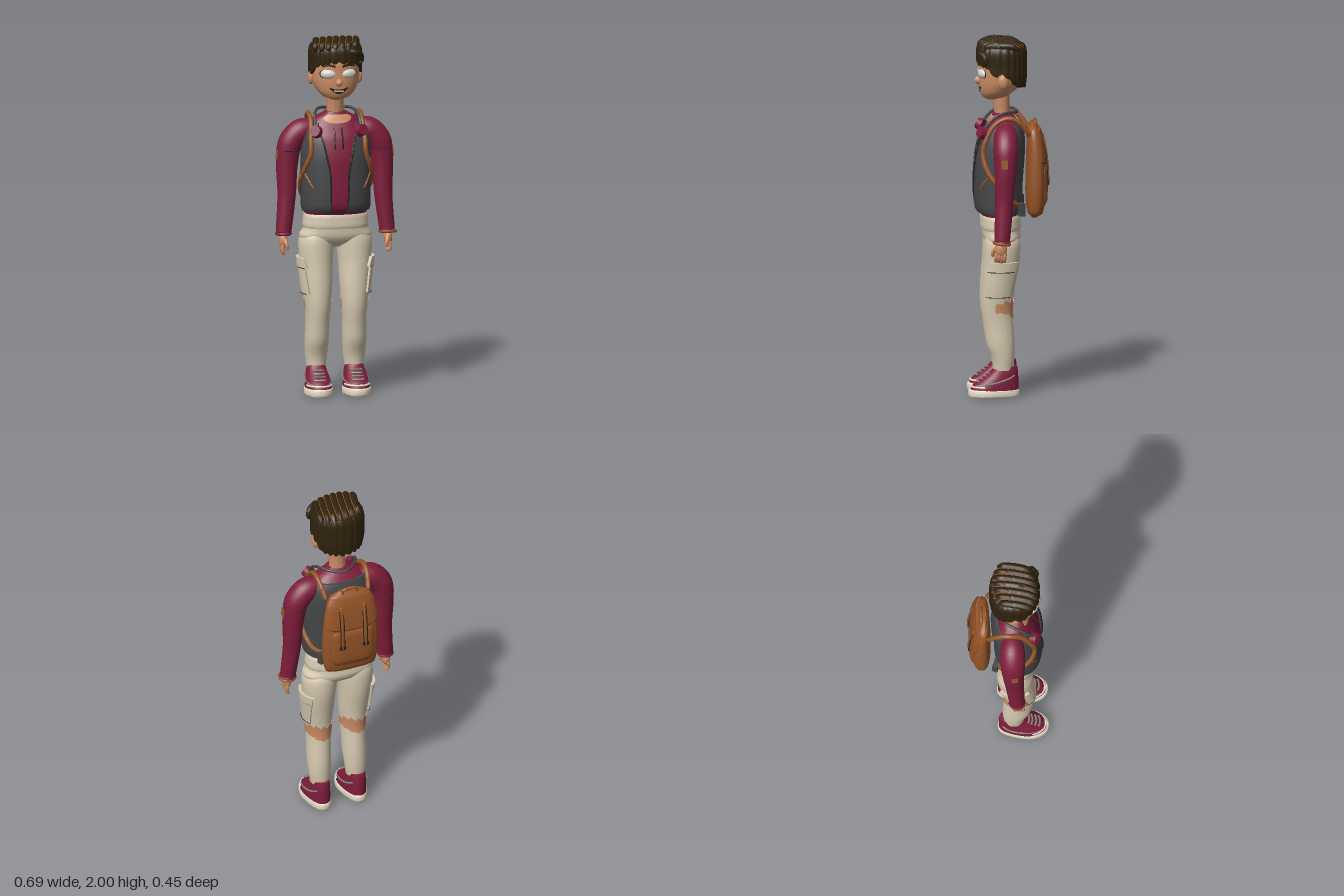
import * as THREE from 'three';
import { toCreasedNormals } from 'three/addons/utils/BufferGeometryUtils.js';

const mat = (name, color) => Object.assign(new THREE.MeshStandardMaterial({ color }), { name });
const M = {
  maroon: mat('maroon cloth', 0x7f1d3b), cream: mat('cream trousers', 0xd6c9b0), vest: mat('charcoal vest', 0x454648),
  brown: mat('brown leather', 0x965528), skin: mat('skin', 0xcb8d65), hair: mat('dark hair', 0x30230e),
  eye: mat('eye white', 0xd6d5c8), dark: mat('dark trim', 0x241f1d), sole: mat('shoe sole', 0xe3d9c4), lace: mat('grey lace', 0x85877a),
};
const V = (x, y, z) => new THREE.Vector3(x, y, z);
const lerp = THREE.MathUtils.lerp;

export function createModel() {
  const model = new THREE.Group(), body = new THREE.Group();
  model.name = 'person'; body.name = 'body';
  body.position.x = -0.008;
  model.add(body);

  const add = (name, geo, material) => {
    const m = new THREE.Mesh(geo, material);
    m.name = name; body.add(m);
    return m;
  };
  const ball = (name, material, p, r) => {
    const m = add(name, new THREE.SphereGeometry(1, 24, 16), material);
    m.position.set(...p); m.scale.set(...r);
    return m;
  };
  // piecewise linear lookup in [x, y] pairs
  const table = (rows, x) => {
    let i = 0;
    while (i < rows.length - 2 && x > rows[i + 1][0]) i++;
    const t = THREE.MathUtils.clamp((x - rows[i][0]) / (rows[i + 1][0] - rows[i][0]), 0, 1);
    return lerp(rows[i][1], rows[i + 1][1], t);
  };
  // rows [y, cx, cz, rx, rz], bottom up -> point at angle a (0 = front) and height y
  const surface = (rows, n = 2) => (a, y, off = 0) => {
    let i = 0;
    while (i < rows.length - 2 && y > rows[i + 1][0]) i++;
    const t = (y - rows[i][0]) / (rows[i + 1][0] - rows[i][0]);
    const q = [-1, 0, 1, 2].map(k => rows[THREE.MathUtils.clamp(i + k, 0, rows.length - 1)]);
    const [, cx, cz, rx, rz] = rows[0].map((_, k) => {
      const [A, B, C, D] = q.map(r => r[k]);
      return 0.5 * (2 * B + (C - A) * t + (2 * A - 5 * B + 4 * C - D) * t * t + (3 * B - A - 3 * C + D) * t ** 3);
    });
    const pw = w => Math.sign(w) * Math.abs(w) ** (2 / n);
    return V(cx + (rx + off) * pw(Math.sin(a)), y, cz + (rz + off) * pw(Math.cos(a)));
  };
  // grid of points fn(i, j)
  const grid = (fn, nu, nv, crease = 0.9) => {
    const pos = [], idx = [];
    for (let j = 0; j <= nv; j++) for (let i = 0; i <= nu; i++) pos.push(...fn(i, j).toArray());
    for (let j = 0; j < nv; j++) for (let i = 0; i < nu; i++) {
      const a = j * (nu + 1) + i, b = a + nu + 1;
      idx.push(a, a + 1, b + 1, a, b + 1, b);
    }
    const g = new THREE.BufferGeometry();
    g.setAttribute('position', new THREE.Float32BufferAttribute(pos, 3));
    g.setIndex(idx);
    return toCreasedNormals(g, crease);
  };
  // closed loft through the rows
  const loft = (rows, n = 2, seg = 40) => {
    const s = surface(rows, n), ys = [];
    rows.slice(1).forEach((r, i) => { for (let k = 0; k < 4; k++) ys.push(lerp(rows[i][0], r[0], k / 4)); });
    ys.push(rows.at(-1)[0]);
    const cap = r => V(r[1], r[0], r[2]);
    return grid((i, j) => j === 0 ? cap(rows[0]) : j === ys.length + 1 ? cap(rows.at(-1))
      : s((i % seg) / seg * Math.PI * 2, ys[j - 1]), seg, ys.length + 1);
  };
  // raised plate on a surface, with closed edges; fn(u, v) -> [angle, y]
  const patch = (s, fn, off, nu = 16, nv = 8) => grid((i, j) => {
    const rim = i === 0 || j === 0 || i === nu || j === nv;
    const c = (k, n) => THREE.MathUtils.clamp((k - 1) / (n - 2), 0, 1);
    const [a, y] = fn(c(i, nu), c(j, nv));
    return s(a, y, rim ? -0.002 : off);
  }, nu, nv, 0.7);
  // tapered tube with round closed ends
  const sweep = (pts, radii, seg = 32, sides = 14) => {
    const curve = new THREE.CatmullRomCurve3(pts.map(p => p.isVector3 ? p : V(...p)));
    const g = new THREE.TubeGeometry(curve, seg, 1, sides), p = g.attributes.position, nm = g.attributes.normal;
    for (let i = 0; i <= seg; i++) {
      const c = curve.getPointAt(i / seg), t = curve.getUtoTmapping(i / seg) * (radii.length - 1);
      const r = i === 0 || i === seg ? 0 : table(radii.map((w, k) => [k, w]), t);
      for (let j = 0; j <= sides; j++) {
        const k = i * (sides + 1) + j;
        p.setXYZ(k, c.x + nm.getX(k) * r, c.y + nm.getY(k) * r, c.z + nm.getZ(k) * r);
      }
    }
    return toCreasedNormals(g, 1);
  };
  const TAU = Math.PI * 2;

  // head and face
  const headRows = [[1.664, 0, 0.085, 0.035, 0.035], [1.68, 0, 0.075, 0.075, 0.07], [1.71, 0, 0.06, 0.106, 0.098],
    [1.76, 0, 0.042, 0.13, 0.121], [1.82, 0, 0.035, 0.138, 0.128], [1.88, 0, 0.035, 0.133, 0.125], [1.94, 0, 0.035, 0.1, 0.1]];
  const head = surface(headRows);
  add('head', loft(headRows), M.skin);
  add('neck', loft([[1.53, 0, 0.03, 0.05, 0.045], [1.6, 0, 0.035, 0.046, 0.043], [1.7, 0, 0.04, 0.05, 0.05]]), M.skin);
  ball('nose', M.skin, [0, 1.768, 0.163], [0.019, 0.022, 0.025]);
  add('mouth', patch(head, (u, v) => [lerp(-0.43, 0.43, u), 1.703 + 0.03 * (2 * u - 1) ** 2 + v * 0.026 * Math.sin(Math.PI * lerp(0.1, 0.9, u))], 0.003), M.dark);
  add('teeth', patch(head, (u, v) => [lerp(-0.24, 0.24, u), 1.716 + v * 0.008], 0.005), M.eye);
  for (const s of [-1, 1]) {
    ball('ear', M.skin, [s * 0.136, 1.78, 0.03], [0.017, 0.04, 0.028]);
    ball('eye', M.eye, [s * 0.056, 1.815, 0.139], [0.046, 0.029, 0.027]).rotation.y = s * 0.3;
    const rim = add('eyelid', new THREE.TorusGeometry(1, 0.07, 8, 36), M.dark);
    rim.position.set(s * 0.056, 1.815, 0.142); rim.scale.set(0.047, 0.03, 0.03); rim.rotation.y = s * 0.3;
    add('eyebrow', patch(head, (u, v) => [s * 0.42 + lerp(-0.28, 0.28, u), 1.852 + 0.012 * v + 0.008 * Math.sin(Math.PI * u)], 0.006), M.hair);
  }

  // hair: rippled shell with a hairline, combed locks on top, a curl in front
  const hair = surface([[1.72, 0, 0.022, 0.124, 0.115], [1.8, 0, 0.033, 0.142, 0.134], [1.87, 0, 0.035, 0.143, 0.136],
    [1.92, 0, 0.036, 0.144, 0.137], [1.955, 0, 0.036, 0.138, 0.132], [1.978, 0, 0.035, 0.112, 0.108], [1.986, 0, 0.035, 0.01, 0.01]], 2.3);
  const hairline = a => table([[0, 1.875], [0.8, 1.862], [1.15, 1.83], [1.32, 1.795], [1.5, 1.82], [1.8, 1.79], [2.1, 1.745], [3.15, 1.73]], a);
  add('hair', grid((i, j) => {
    const a = (i % 144) / 144 * TAU, ripple = Math.abs(Math.sin(a * 12));
    const low = hairline(Math.min(a, TAU - a)) + 0.012 * (1 - ripple);
    return hair(a, lerp(low, 1.986, Math.max(0, j - 1) / 14), j ? 0.005 * ripple : -0.012);
  }, 144, 15), M.hair);
  const topPath = (x, y) => {
    const w = Math.sqrt(1 - (x / 0.16) ** 2);
    return [[0.025, -0.028, -0.13], [0.02, -0.004, -0.085], [0.008, 0, 0], [-0.008, 0, 0.07], [-0.02, -0.012, 0.115], [-0.02, -0.04, 0.127]]
      .map(([dx, dy, dz]) => V(x + dx * w, y + dy, 0.036 + dz * w));
  };
  for (let k = -3; k <= 3; k++) {
    add('hairLock', sweep(topPath(k * 0.037, 1.978), [0.008, 0.02, 0.022, 0.022, 0.02, 0.008]), M.hair);
    if (k < 3) add('hairStreak', sweep(topPath(k * 0.037 + 0.0185, 1.991), [0.001, 0.003, 0.003, 0.003, 0.003, 0.001], 24, 6), M.brown);
  }
  add('hairCurl', sweep([[0.05, 1.95, 0.15], [0.09, 1.935, 0.155], [0.125, 1.92, 0.135], [0.135, 1.885, 0.125], [0.118, 1.865, 0.13]], [0.01, 0.018, 0.016, 0.011, 0.003]), M.hair);

  // sweater and vest
  const torsoRows = [[1.02, 0, 0.046, 0.174, 0.105], [1.06, 0, 0.055, 0.182, 0.122], [1.2, 0, 0.055, 0.182, 0.125], [1.35, 0, 0.046, 0.183, 0.127],
    [1.45, 0, 0.035, 0.178, 0.117], [1.52, 0, 0.026, 0.155, 0.092], [1.56, 0, 0.03, 0.11, 0.068], [1.588, 0, 0.035, 0.06, 0.05]];
  const torso = surface(torsoRows, 2.3);
  add('sweater', loft(torsoRows, 2.3, 56), M.maroon);
  const opening = y => table([[1.04, 0.2], [1.25, 0.22], [1.42, 0.38], [1.54, 0.75]], y);
  add('vest', patch(torso, (u, v) => {
    const y = lerp(1.037, 1.53, v), o = opening(y);
    return [lerp(o, TAU - o, u), y];
  }, 0.012, 64, 24), M.vest);
  add('neckline', patch(torso, (u, v) => [lerp(-0.65, 0.8, u), 1.575 - (1 - v) * 0.045 * Math.sin(Math.PI * lerp(0.15, 0.9, u))], 0.003), M.skin);
  for (const s of [-1, 1]) {
    const edge = [1.045, 1.15, 1.25, 1.35, 1.43, 1.5].map(y => torso(s * opening(y), y, 0.012));
    add('vestZip', sweep(edge, [0.005, 0.005], 32, 8), M.dark);
    add('drawstring', sweep([1.39, 1.43, 1.47, 1.51].map(y => torso(s * 0.09, y, 0.002)), [0.004, 0.004], 16, 8), M.dark);
    add('vestPocketTrim', sweep([[0.75, 1.17], [0.95, 1.21], [1.25, 1.26]].map(([a, y]) => torso(s * a, y, 0.013)), [0.006, 0.006], 16, 8), M.brown);

    // arm, cuff and hand
    add('sleeve', sweep([[0.1, 1.495, 0.02], [0.19, 1.478, 0.02], [0.248, 1.415, 0.02], [0.268, 1.3, 0.022], [0.272, 1.12, 0.03], [0.293, 0.9, 0.043]]
      .map(([x, y, z]) => V(s * x, y, z)), [0.05, 0.068, 0.069, 0.061, 0.051, 0.043], 48, 24), M.maroon);
    const seam = add('sleeveSeam', new THREE.TorusGeometry(0.0655, 0.002, 6, 32), M.dark);
    seam.position.set(s * 0.257, 1.375, 0.021); seam.rotation.x = Math.PI / 2;
    const badge = add('sleevePatch', new THREE.BoxGeometry(0.006, 0.05, 0.036), M.brown);
    badge.position.set(s * 0.326, 1.35, 0.028); badge.rotation.z = s * 0.1;
    const cuff = add('cuff', new THREE.TorusGeometry(0.038, 0.009, 10, 28), M.maroon);
    cuff.position.set(s * 0.292, 0.906, 0.043); cuff.rotation.x = Math.PI / 2;
    ball('palm', M.skin, [s * 0.296, 0.867, 0.05], [0.023, 0.045, 0.034]);
    for (let f = 0; f < 4; f++) {
      const z = 0.026 + f * 0.016;
      add('finger', sweep([[s * 0.3, 0.85, z], [s * 0.303, 0.815, z + 0.003], [s * 0.29, 0.785 + 0.004 * Math.abs(f - 1), z + 0.004]], [0.011, 0.01, 0.007], 12, 10), M.skin);
    }
    add('thumb', sweep([[s * 0.29, 0.88, 0.07], [s * 0.283, 0.85, 0.092], [s * 0.277, 0.82, 0.093]], [0.013, 0.011, 0.008], 12, 10), M.skin);

    // backpack strap and headphone cup
    add('shoulderStrap', sweep([V(s * 0.125, 1.47, -0.12), V(s * 0.14, 1.55, -0.06), V(s * 0.145, 1.575, 0), V(s * 0.143, 1.54, 0.075),
      ...[[0.85, 1.45], [0.85, 1.37], [1.15, 1.28], [1.6, 1.19], [2.2, 1.1], [2.75, 1.07]].map(([a, y]) => torso(s * a, y, 0.016))], [0.014, 0.014], 64, 10), M.brown);
    const cup = add('headphoneCup', new THREE.CylinderGeometry(0.031, 0.036, 0.036, 24), M.maroon);
    cup.position.set(s * 0.13, 1.495, 0.148); cup.rotation.set(1.2, 0, -s * 0.5);
    const hip = add('hipBuckle', new THREE.BoxGeometry(0.07, 0.07, 0.03), M.vest);
    hip.position.set(s * 0.12, 1.06, -0.066); hip.rotation.y = s * 0.4;
  }
  add('headphoneBand', sweep([[-0.13, 1.51, 0.14], [-0.122, 1.575, 0.08], [-0.1, 1.597, 0.02], [-0.055, 1.597, -0.035], [0, 1.59, -0.052],
    [0.055, 1.597, -0.035], [0.1, 1.597, 0.02], [0.122, 1.575, 0.08], [0.13, 1.51, 0.14]], [0.008, 0.008], 64, 10), M.vest);
  const watch = add('bracelet', new THREE.TorusGeometry(0.044, 0.008, 8, 28), M.brown);
  watch.position.set(0.295, 0.9, 0.044); watch.rotation.x = 1.45;

  // backpack
  const packRows = [[1.008, 0, -0.145, 0.1, 0.02], [1.03, 0, -0.15, 0.145, 0.043], [1.1, 0, -0.152, 0.16, 0.054], [1.22, 0, -0.154, 0.163, 0.056],
    [1.36, 0, -0.152, 0.152, 0.05], [1.46, 0, -0.145, 0.135, 0.04], [1.505, 0, -0.138, 0.112, 0.03], [1.53, 0, -0.135, 0.06, 0.014]];
  const pack = surface(packRows, 2.8);
  add('backpack', loft(packRows, 2.8), M.brown);
  add('backpackPocket', loft([[1.07, 0, -0.185, 0.1, 0.02], [1.1, 0, -0.188, 0.122, 0.03], [1.2, 0, -0.188, 0.128, 0.032], [1.28, 0, -0.186, 0.125, 0.029], [1.31, 0, -0.182, 0.11, 0.02]], 3), M.brown);
  add('backpackFlap', patch(pack, (u, v) => [lerp(1.9, TAU - 1.9, u), lerp(1.33 - 0.02 * Math.sin(Math.PI * u), 1.5, v)], 0.009, 28, 10), M.brown);
  add('backpackSeam', sweep([...Array(25)].map((_, i) => pack(lerp(1.9, TAU - 1.9, i / 24), 1.33 - 0.02 * Math.sin(Math.PI * i / 24), 0.007)), [0.0025, 0.0025], 60, 6), M.dark);
  add('backpackHandle', sweep([[-0.045, 1.5, -0.15], [-0.04, 1.535, -0.15], [0, 1.545, -0.15], [0.04, 1.535, -0.15], [0.045, 1.5, -0.15]], [0.009, 0.009], 30, 8), M.brown);
  for (const x of [-0.068, 0.068]) {
    add('packStrap', sweep([[x, 1.46, -0.188], [x, 1.38, -0.206], [x, 1.27, -0.217], [x, 1.18, -0.218]], [0.009, 0.009], 30, 8), M.brown);
    for (const d of [-0.011, 0.011]) add('packStrapEdge', sweep([[x + d, 1.44, -0.193], [x + d, 1.35, -0.21], [x + d, 1.2, -0.22]], [0.003, 0.003], 24, 6), M.dark);
    add('packBuckle', new THREE.BoxGeometry(0.032, 0.022, 0.01), M.dark).position.set(x, 1.2, -0.22);
  }

  // trousers
  add('hips', loft([[0.83, 0, 0.035, 0.09, 0.05], [0.855, 0, 0.035, 0.17, 0.085], [0.89, 0, 0.036, 0.203, 0.105], [0.93, 0, 0.04, 0.183, 0.107], [0.98, 0, 0.042, 0.172, 0.106], [1.03, 0, 0.045, 0.17, 0.1]], 2.3, 48), M.cream);
  add('waistband', loft([[0.94, 0, 0.042, 0.183, 0.112], [0.945, 0, 0.042, 0.185, 0.114], [1.015, 0, 0.044, 0.177, 0.109], [1.022, 0, 0.044, 0.174, 0.106]], 2.3, 48), M.cream);
  for (const s of [-1, 1]) {
    const legRows = [[0.155, 0.107, 0.03, 0.055, 0.058], [0.22, 0.107, 0.032, 0.062, 0.064], [0.3, 0.106, 0.046, 0.067, 0.079], [0.4, 0.104, 0.056, 0.067, 0.083],
      [0.5, 0.103, 0.066, 0.072, 0.087], [0.62, 0.105, 0.058, 0.084, 0.093], [0.75, 0.108, 0.041, 0.093, 0.1], [0.87, 0.105, 0.036, 0.1, 0.1], [0.93, 0.09, 0.04, 0.085, 0.085]]
      .map(([y, x, ...r]) => [y, s * x, ...r]);
    const leg = surface(legRows);
    add('trouserLeg', loft(legRows), M.cream);
    const pocket = (lo, hi, y0, y1, off) => patch(leg, (u, v) => [s * Math.PI / 2 + lerp(lo, hi, u) + s * 0.2 * (v - 0.5), lerp(y0, y1, v)], off, 14, 10);
    add('cargoPocket', pocket(-0.75, 0.75, 0.575, 0.765, 0.012), M.cream);
    add('cargoPocketFlap', pocket(-0.8, 0.8, 0.72, 0.772, 0.018), M.cream);
    for (const [y, w] of [[0.573, 0.002], [0.717, 0.003]])
      add('cargoPocketSeam', sweep([-0.75, -0.4, 0, 0.4, 0.75].map(d => leg(s * Math.PI / 2 + d, y, 0.013)), [w, w], 20, 6), M.dark);
    // torn openings behind the knee, with ragged edges
    add('kneeTear', patch(leg, (u, v) => {
      const a = lerp(Math.PI * 0.47, Math.PI * 1.53, u), rag = 0.012 * Math.sin(u * 41) + 0.007 * Math.sin(u * 83);
      const mid = 0.505 + 0.008 * Math.sin(u * 9), h = 0.02 + 0.025 * Math.sin(Math.PI * u);
      return [a, mid + (v * 2 - 1) * h + rag * (v - 0.3)];
    }, 0.004, 48, 8), M.skin);

    // shoe, narrower at the heel
    const shape = rows => {
      const g = loft(rows.map(([y, cz, rx, rz]) => [y, 0, cz, rx, rz]), 2.3), p = g.attributes.position;
      for (let i = 0; i < p.count; i++) p.setX(i, s * 0.107 + p.getX(i) * lerp(0.8, 1.03, THREE.MathUtils.smoothstep(p.getZ(i), -0.03, 0.14)));
      return toCreasedNormals(g, 0.8);
    };
    add('shoeSole', shape([[0, 0.082, 0.072, 0.137], [0.008, 0.082, 0.079, 0.142], [0.04, 0.082, 0.079, 0.142], [0.046, 0.082, 0.074, 0.137]]), M.sole);
    const upper = [[0.04, 0.079, 0.075, 0.134], [0.07, 0.072, 0.073, 0.126], [0.095, 0.056, 0.069, 0.11], [0.13, 0.033, 0.063, 0.086], [0.16, 0.02, 0.058, 0.07], [0.175, 0.017, 0.054, 0.064]];
    add('shoeUpper', shape(upper), M.maroon);
    const shoe = surface(upper.map(([y, cz, rx, rz]) => [y, s * 0.107, cz, rx, rz]), 2.3);
    add('toeTrim', sweep([...Array(13)].map((_, i) => shoe(lerp(-1.2, 1.2, i / 12), 0.062, 0.001)), [0.006, 0.006], 40, 8), M.sole);
    for (const y of [0.092, 0.107, 0.122, 0.137])
      add('shoeLace', sweep([-0.45, -0.2, 0, 0.2, 0.45].map(a => shoe(a, y, 0.003)), [0.006, 0.006], 20, 8), M.lace);
    for (const d of [-1, 1])
      add('shoeStripe', sweep([[0.5, 0.066], [1, 0.074], [1.5, 0.088], [2, 0.112], [2.5, 0.13]].map(([a, y]) => shoe(d * a, y, -0.001)), [0.005, 0.005], 24, 8), M.lace);
  }
  return model;
}
